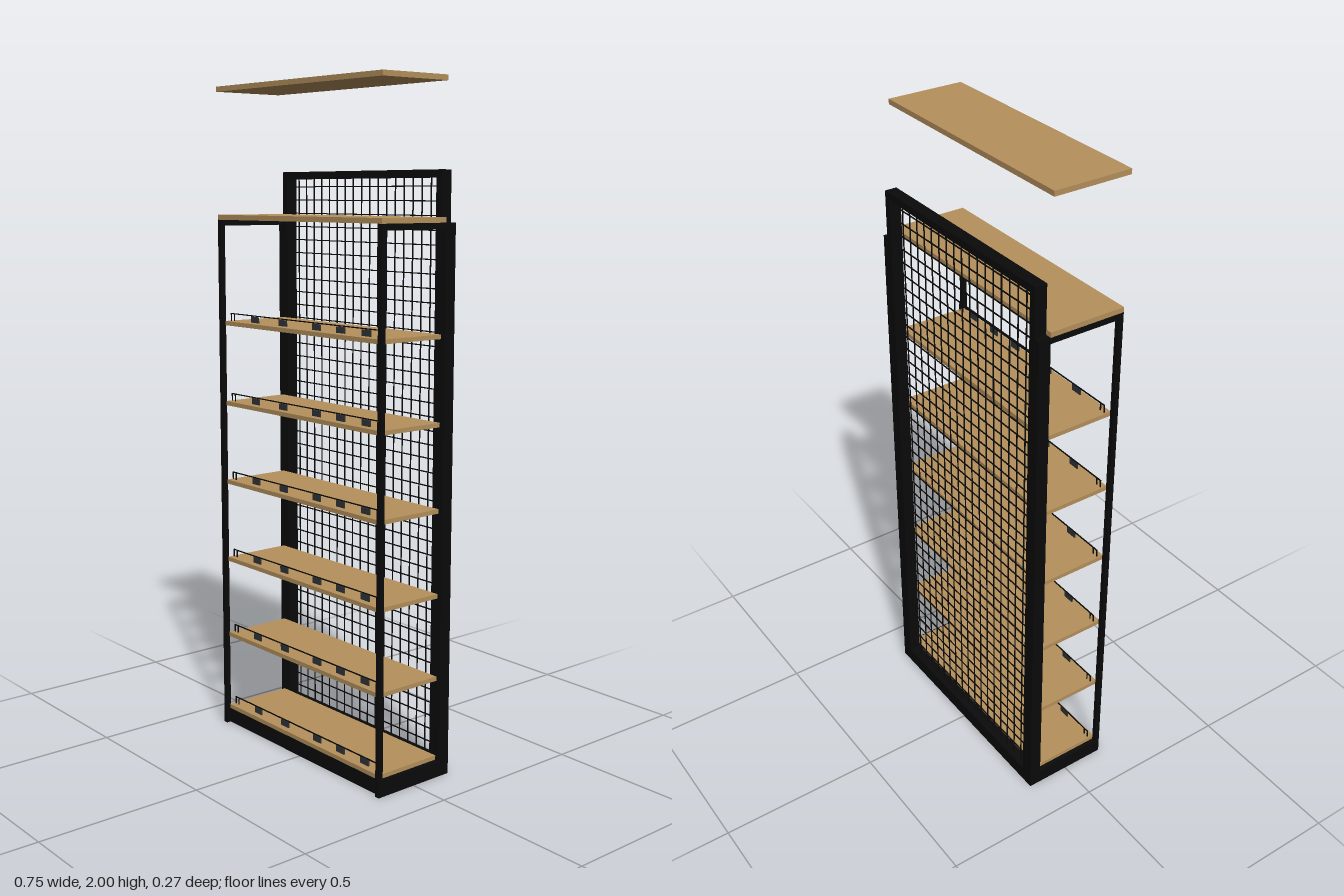
import * as THREE from 'three';

export function createModel() {
  const model = new THREE.Group();
  const wood = new THREE.MeshStandardMaterial({ color: 0xb5905c });
  wood.name = 'wood';
  const black = new THREE.MeshStandardMaterial({ color: 0x0a0a0a });
  black.name = 'black metal';
  const grey = new THREE.MeshStandardMaterial({ color: 0x30353a });
  grey.name = 'dark grey tag';

  // Box given by its minimum and maximum on each axis
  function box(name, material, x0, x1, y0, y1, z0, z1, parent = model) {
    const mesh = new THREE.Mesh(new THREE.BoxGeometry(x1 - x0, y1 - y0, z1 - z0), material);
    mesh.position.set((x0 + x1) / 2, (y0 + y1) / 2, (z0 + z1) / 2);
    mesh.name = name;
    parent.add(mesh);
    return mesh;
  }

  const W = 0.375, BACK = -0.137, MID = -0.1, FRONT = 0.135;

  // Floating canopy board and top board
  box('canopyBoard', wood, -W, W, 1.985, 2, MID, FRONT);
  box('topBoard', wood, -W, W, 1.606, 1.621, MID, FRONT);

  // Base plinth
  box('base', black, -0.36, 0.36, 0, 0.047, MID, 0.122);

  // Posts and side bars, mirrored left and right
  for (const s of [-1, 1]) {
    const side = (name, a, b, y0, y1, z0, z1) =>
      box(name, black, Math.min(s * a, s * b), Math.max(s * a, s * b), y0, y1, z0, z1);
    side('frontPost', 0.36, W, 0, 1.606, 0.12, FRONT);
    side('backPost', 0.355, W, 0, 1.606, BACK, MID);
    side('panelPost', 0.334, 0.355, 0, 1.75, BACK, MID);
    side('topSideBar', 0.36, W, 1.588, 1.606, MID, 0.12);
    side('baseSideBar', 0.36, W, 0, 0.047, MID, 0.12);
  }
  box('panelTopRail', black, -0.334, 0.334, 1.728, 1.75, BACK, MID);
  box('panelBottomRail', black, -0.334, 0.334, 0, 0.047, BACK, MID);

  // Wire grid of the back panel
  const grid = new THREE.Group();
  grid.name = 'wireGrid';
  model.add(grid);
  const r = 0.0015, zg = -0.118;
  for (let i = -8; i <= 8; i++) {
    const x = i * 0.037;
    box('verticalWire', black, x - r, x + r, 0.04, 1.735, zg - r, zg + r, grid);
  }
  for (let y = 0.085; y < 1.72; y += 0.0405) {
    box('horizontalWire', black, -0.335, 0.335, y - r, y + r, zg - r, zg + r, grid);
  }

  // Shelves with a low wire guard and label tags
  for (const top of [0.06, 0.302, 0.55, 0.8, 1.049, 1.298]) {
    const shelf = new THREE.Group();
    shelf.name = 'shelf';
    shelf.position.y = top;
    model.add(shelf);
    box('shelfBoard', wood, -0.36, 0.36, -0.013, 0, MID, 0.123, shelf);
    box('guardRail', black, -0.353, 0.353, 0.021, 0.024, 0.103, 0.106, shelf);
    for (const x of [-0.353, -0.337, 0.337, 0.353]) {
      box('guardWire', black, x - r, x + r, 0, 0.024, 0.103, 0.106, shelf);
    }
    for (const x of [-0.23, -0.093, 0.063, 0.171, 0.28]) {
      box('labelTag', grey, x - 0.018, x + 0.018, 0.002, 0.02, 0.103, 0.107, shelf);
    }
  }
  return model;
}
